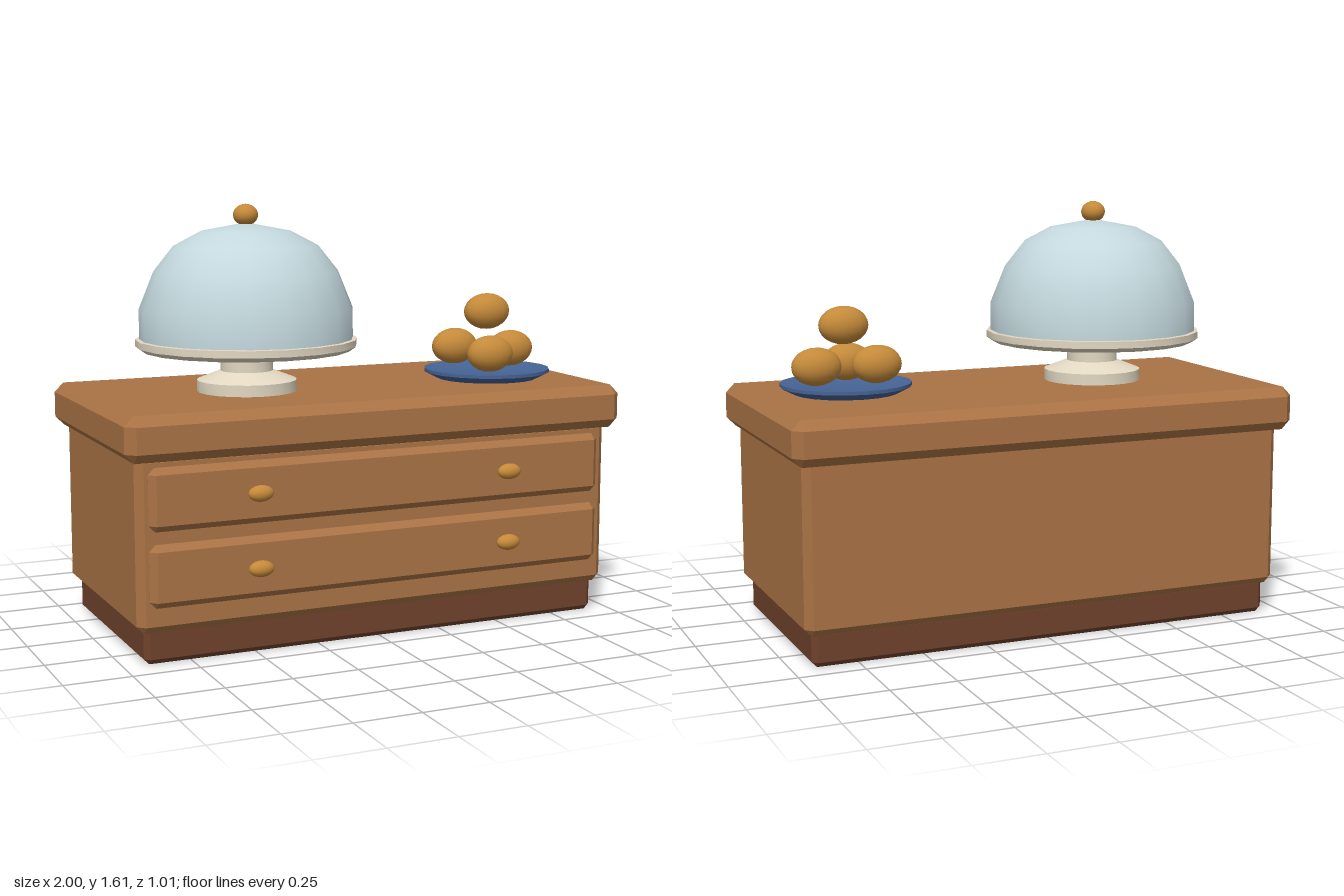
import * as THREE from 'three';
import { ConvexGeometry } from 'three/addons/geometries/ConvexGeometry.js';
import { toCreasedNormals } from 'three/addons/utils/BufferGeometryUtils.js';

const material = (name, color) => {
  const m = new THREE.MeshStandardMaterial({ color });
  m.name = name;
  return m;
};

export function createModel() {
  const group = new THREE.Group();
  const wood = material('wood', 0xaa7345);
  const darkWood = material('dark wood', 0x70422c);
  const gold = material('golden brown', 0xc58a3a);
  const cream = material('cream ceramic', 0xe2d8c2);
  const glass = material('pale blue glass', 0xc3d8dd);
  const blue = material('blue glaze', 0x466496);

  const add = (name, geometry, mat, x = 0, y = 0, z = 0) => {
    const mesh = new THREE.Mesh(geometry, mat);
    mesh.name = name;
    mesh.position.set(x, y, z);
    group.add(mesh);
    return mesh;
  };

  // Box given by its limits, with every edge cut by a flat bevel c
  const bevelBox = (name, mat, [x0, x1], [y0, y1], [z0, z1], c) => {
    const half = [(x1 - x0) / 2, (y1 - y0) / 2, (z1 - z0) / 2];
    const points = [];
    for (const sx of [-1, 1]) for (const sy of [-1, 1]) for (const sz of [-1, 1]) {
      const sign = [sx, sy, sz];
      for (let axis = 0; axis < 3; axis++) {
        points.push(new THREE.Vector3(
          ...half.map((h, i) => sign[i] * (i === axis ? h : h - c))));
      }
    }
    return add(name, new ConvexGeometry(points), mat,
      (x0 + x1) / 2, (y0 + y1) / 2, (z0 + z1) / 2);
  };

  const lathe = (profile, sides) => toCreasedNormals(
    new THREE.LatheGeometry(profile.map(([r, y]) => new THREE.Vector2(r, y)), sides), 0.6);

  const ellipsoid = (name, radii, x, y, z) => {
    const mesh = add(name, new THREE.SphereGeometry(1, 18, 12), gold, x, y, z);
    mesh.scale.set(...radii);
    return mesh;
  };

  // Cabinet
  bevelBox('plinth', darkWood, [-0.925, 0.925], [0, 0.14], [-0.43, 0.41], 0.02);
  bevelBox('cabinetBody', wood, [-0.957, 0.955], [0.12, 0.765], [-0.457, 0.44], 0.028);
  bevelBox('counterTop', wood, [-1, 1], [0.74, 0.907], [-0.507, 0.483], 0.035);

  // Drawers with two knobs each
  for (const [row, y] of [['lower', 0.33], ['upper', 0.605]]) {
    bevelBox(row + 'Drawer', wood, [-0.915, 0.912], [y - 0.115, y + 0.115], [0.405, 0.465], 0.024);
    for (const x of [-0.508, 0.503]) {
      ellipsoid(row + 'DrawerKnob', [0.048, 0.03, 0.028], x, y, 0.48);
    }
  }

  // Cake stand: foot, stem and wide plate in one turned profile
  const cakeX = -0.38, cakeZ = 0.014;
  add('cakeStand', lathe([
    [0, 0.905], [0.19, 0.905], [0.19, 0.95], [0.1, 0.985], [0.1, 1.04],
    [0.2, 1.045], [0.395, 1.063], [0.42, 1.08], [0.42, 1.106], [0.4, 1.106], [0, 1.1],
  ], 20), cream, cakeX, 0, cakeZ);

  // Glass dome and its knob
  const dome = lathe([
    [0, 1.108], [0.405, 1.108], [0.404, 1.22], [0.348, 1.36],
    [0.273, 1.455], [0.17, 1.51], [0, 1.542],
  ], 20);
  add('dome', dome, glass, cakeX, 0, cakeZ);
  ellipsoid('domeKnob', [0.047, 0.041, 0.047], cakeX, 1.57, cakeZ);

  // Plate with a shallow well
  add('bluePlate', lathe([
    [0, 0.907], [0.2, 0.907], [0.25, 0.933], [0.25, 0.946],
    [0.235, 0.946], [0.18, 0.932], [0, 0.93],
  ], 20), blue, 0.63, 0, 0.062);

  // Pile of buns
  for (const [x, y, z] of [
    [0.545, 1.025, -0.052], [0.598, 1.012, 0.147], [0.755, 1.015, 0.03], [0.65, 1.168, 0.022],
  ]) {
    ellipsoid('bun', [0.097, 0.072, 0.065], x, y, z);
  }

  return group;
}
